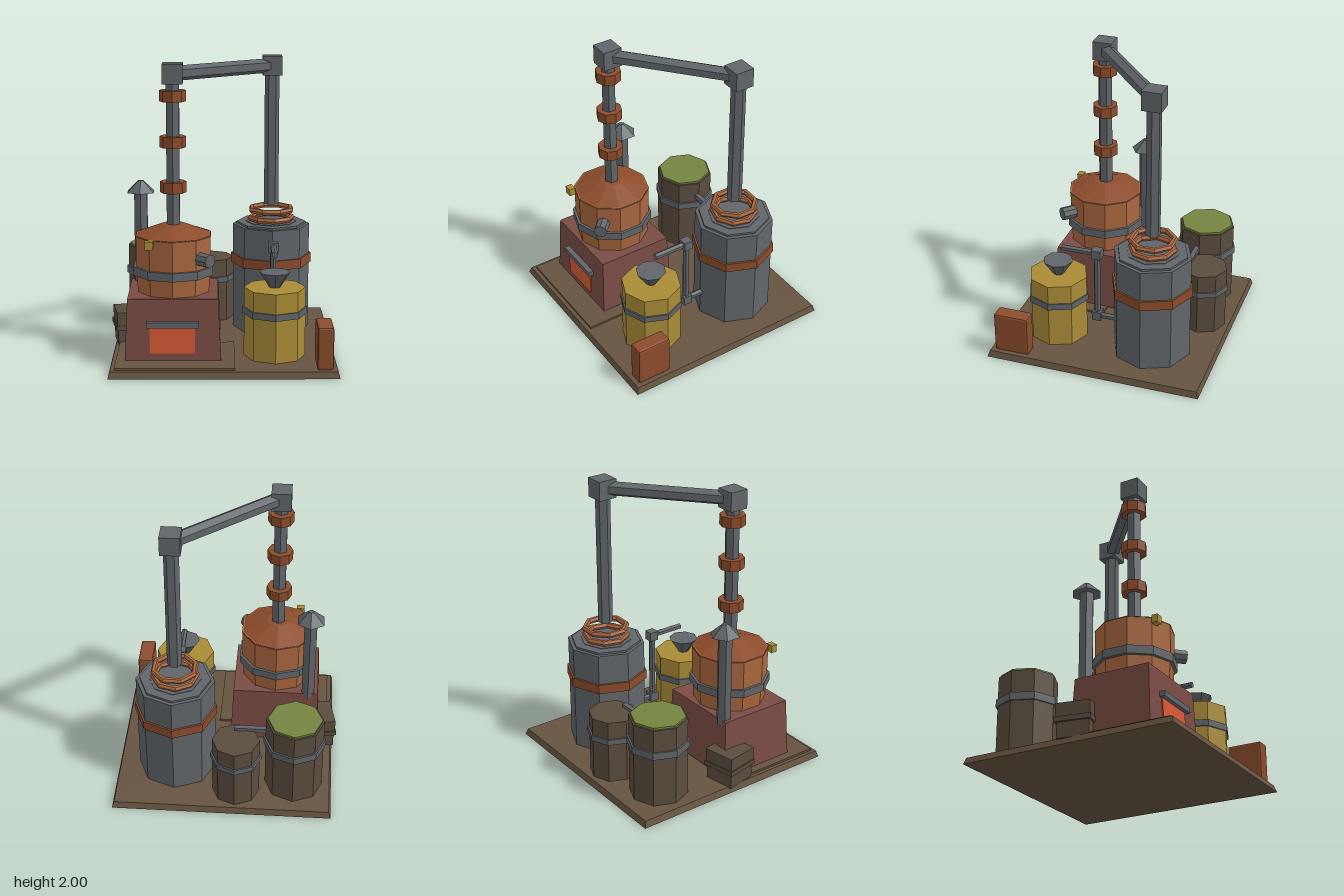
import * as THREE from 'three';
import { RoundedBoxGeometry } from 'three/addons/geometries/RoundedBoxGeometry.js';

const paint = (name, color) => {
  const m = new THREE.MeshStandardMaterial({ color, flatShading: true });
  m.name = name;
  return m;
};

export function createModel() {
  const ground = paint('ground brown', 0x665440);
  const wood = paint('barrel wood', 0x5a4d3e);
  const steel = paint('grey steel', 0x61666a);
  const copper = paint('copper', 0xa9673f);
  const darkCopper = paint('dark copper', 0x8c4c2c);
  const brass = paint('yellow brass', 0xaa8c37);
  const brick = paint('red brick', 0x7a4c44);
  const fire = paint('fire orange', 0xd65a36);
  const moss = paint('mash green', 0x748440);

  const model = new THREE.Group();
  const add = (name, geo, mat, x = 0, y = 0, z = 0) => {
    const mesh = new THREE.Mesh(geo, mat);
    mesh.name = name;
    mesh.position.set(x, y, z);
    model.add(mesh);
    return mesh;
  };
  const box = (name, mat, x, y, z, w, h, d) =>
    add(name, new THREE.BoxGeometry(w, h, d), mat, x, y, z);
  // Upright prism or frustum between two heights
  const drum = (name, mat, x, z, y0, y1, r0, r1 = r0, sides = 8, start = 0) =>
    add(name, new THREE.CylinderGeometry(r1, r0, y1 - y0, sides, 1, false, start), mat, x, (y0 + y1) / 2, z);
  // Straight pipe between two points
  const pipe = (name, mat, a, b, r, sides = 6) => {
    const p = new THREE.Vector3(...a), q = new THREE.Vector3(...b);
    const d = q.clone().sub(p), len = d.length();
    const g = new THREE.CylinderGeometry(r, r, len, sides).rotateX(Math.PI / 2);
    const mesh = add(name, g, mat, ...p.clone().add(q).multiplyScalar(0.5).toArray());
    mesh.lookAt(q);
    return mesh;
  };

  // Base and hearth slab
  drum('base', ground, 0.012, 0, 0, 0.045, 0.757 * Math.SQRT2, 0.743 * Math.SQRT2, 4, Math.PI / 4);
  box('hearthSlab', ground, -0.31, 0.05, 0.432, 0.79, 0.02, 0.565);

  // Furnace with fire door
  const X = -0.325, Z = 0.268;
  drum('furnace', brick, X, 0.265, 0.055, 0.475, 0.32 * Math.SQRT2, 0.3 * Math.SQRT2, 4, Math.PI / 4)
    .scale.z = 0.89;
  box('fireDoor', fire, -0.328, 0.2, 0.5475, 0.3, 0.18, 0.009).rotation.x = -0.042;
  box('doorHood', steel, -0.328, 0.307, 0.556, 0.345, 0.036, 0.04);

  // Boiler pot on the furnace
  drum('potLower', copper, X, Z, 0.475, 0.6, 0.25, 0.258, 10);
  drum('potUpper', copper, X, Z, 0.6, 0.86, 0.26, 0.262, 10);
  drum('potBand', steel, X, Z, 0.592, 0.65, 0.279, 0.279, 10);
  drum('potLid', darkCopper, X, Z, 0.855, 0.927, 0.266, 0.08, 10);
  box('potLabel', brass, -0.478, 0.833, 0.512, 0.056, 0.055, 0.044);
  pipe('potGauge', steel, [-0.15, 0.725, 0.443], [-0.078, 0.725, 0.512], 0.047, 8);

  // Rising column with collars, crossing pipe and descending pipe
  const TX = 0.354, TZ = -0.305;
  drum('column', steel, X, 0.265, 0.9, 1.88, 0.05, 0.05, 6);
  for (const y of [1.178, 1.482, 1.787]) drum('columnCollar', darkCopper, X, 0.265, y - 0.037, y + 0.037, 0.088);
  box('elbowBox', steel, X, 1.933, 0.263, 0.135, 0.134, 0.135);
  box('elbowBox', steel, TX, 1.933, TZ, 0.135, 0.134, 0.135);
  pipe('crossPipe', steel, [X, 1.932, 0.265], [TX, 1.932, TZ], 0.05);
  drum('downPipe', steel, TX, TZ, 0.947, 1.88, 0.051, 0.051, 6, Math.PI / 6);

  // Condenser tank and coil
  drum('tank', steel, TX, TZ, 0.04, 0.803, 0.272);
  drum('tankLid', steel, TX, TZ, 0.8, 0.818, 0.246);
  drum('tankLidCentre', steel, TX, TZ, 0.815, 0.822, 0.18);
  drum('tankBand', darkCopper, TX, TZ, 0.52, 0.588, 0.286);
  [0.845, 0.907].forEach((y, i) => {
    const ring = add('coilRing', new THREE.TorusGeometry(0.148, 0.021, 6, 8).rotateX(Math.PI / 2), copper, TX, y, TZ);
    ring.rotation.y = 0.12 + i * 0.25;
  });

  // Spout and return plumbing
  pipe('spoutPipe', steel, [TX, 0.725, 0.08], [TX, 0.725, 0.342], 0.022);
  pipe('drainRiser', steel, [TX, 0.23, 0.092], [TX, 0.73, 0.092], 0.023);
  pipe('drainPipe', steel, [TX, 0.228, -0.05], [TX, 0.228, 0.09], 0.022);
  for (const y of [0.232, 0.724]) box('pipeJoint', steel, TX, y, 0.091, 0.066, 0.066, 0.066);

  // Collecting barrel with funnel
  drum('collectingBarrel', brass, TX, 0.377, 0.04, 0.517, 0.207);
  drum('collectingBarrelBand', steel, TX, 0.377, 0.337, 0.382, 0.217);
  drum('funnel', steel, TX, 0.377, 0.512, 0.62, 0.035, 0.105);

  // Wooden barrels behind
  const GX = -0.477, GZ = -0.456;
  drum('mashBarrel', wood, GX, GZ, 0.04, 0.615, 0.2);
  drum('mashBarrelBand', steel, GX, GZ, 0.403, 0.455, 0.213);
  drum('mash', moss, GX, GZ, 0.61, 0.63, 0.187);
  drum('smallBarrel', wood, -0.078, -0.55, 0.04, 0.5, 0.164);
  drum('smallBarrelBand', steel, -0.078, -0.55, 0.335, 0.375, 0.176);
  box('barrelPipe', steel, -0.172, 0.505, -0.44, 0.222, 0.034, 0.034);

  // Chimney
  drum('chimney', steel, -0.555, 0.035, 0.44, 1.11, 0.051, 0.051, 6);
  drum('chimneyCap', steel, -0.555, 0.035, 1.098, 1.177, 0.104, 0.02, 6);

  // Stacked crate beside the furnace
  for (const [y0, y1, s] of [[0.04, 0.146, 0.215], [0.146, 0.18, 0.245], [0.18, 0.272, 0.23]])
    box('crate', wood, -0.628, (y0 + y1) / 2, 0.035, s, y1 - y0, s).rotation.y = 0.19;

  // Copper canister at the front corner
  add('canister', new RoundedBoxGeometry(0.107, 0.288, 0.246, 1, 0.014), darkCopper, 0.674, 0.188, 0.592);

  return model;
}
